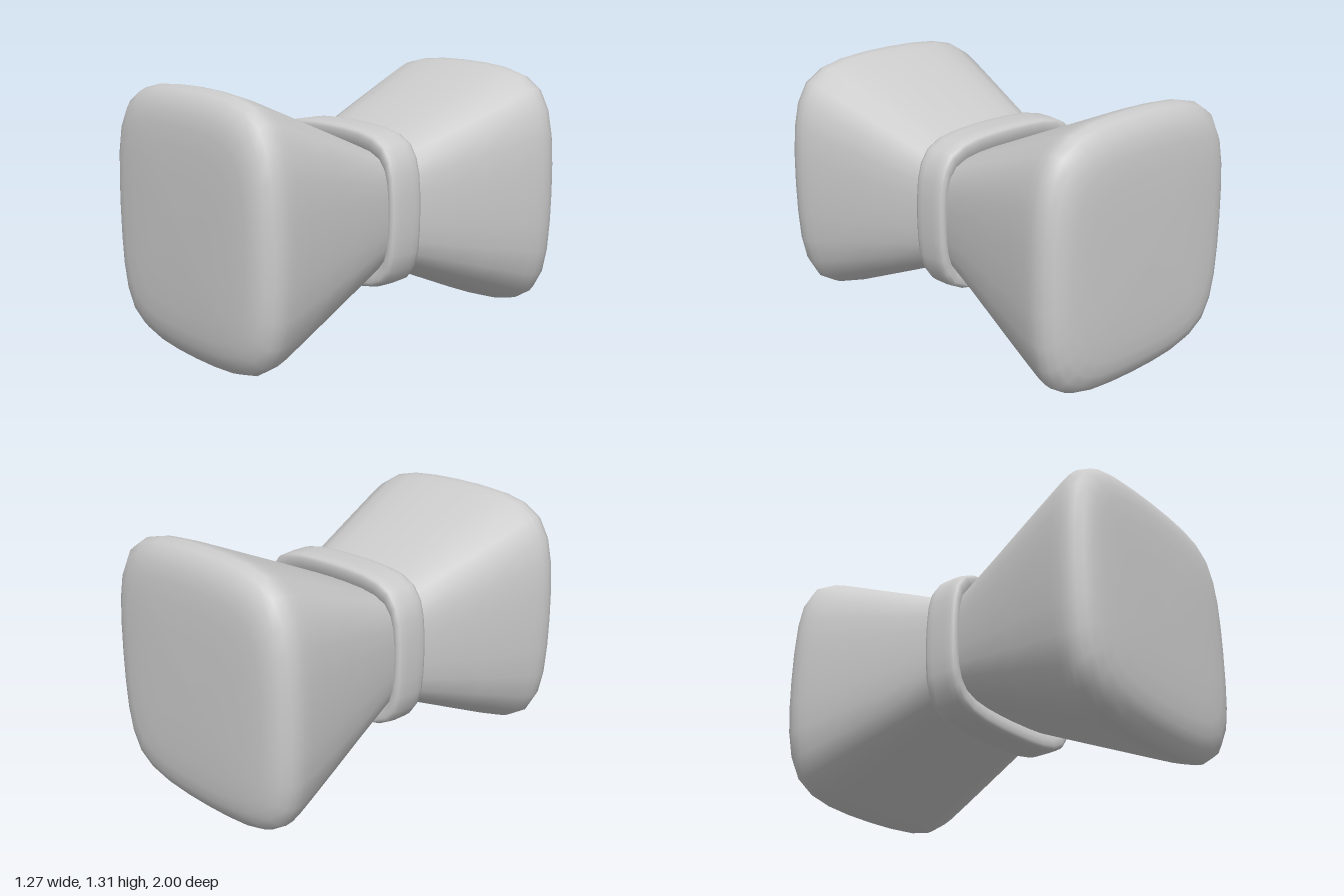
import * as THREE from 'three';

const CENTER_Y = 0.656;

// One quadrant of the rounded-square outline, in unit half-widths
const QUADRANT = [
  [1, 0], [0.995, 0.245], [0.976, 0.48], [0.93, 0.68], [0.838, 0.835],
  [0.68, 0.93], [0.48, 0.976], [0.245, 0.995],
];

// Full outline: the quadrant turned four times, counter-clockwise
function outline() {
  const points = [];
  for (let q = 0; q < 4; q++) {
    for (let [x, y] of QUADRANT) {
      for (let k = 0; k < q; k++) [x, y] = [-y, x];
      points.push([x, y]);
    }
  }
  return points;
}

// Smooth loft through stations [z, halfWidth, halfHeight], z rising
function loft(name, stations, material) {
  const ring = outline();
  const n = ring.length;
  const positions = [];
  const index = [];
  stations.forEach(([z, w, h], s) => {
    ring.forEach(([x, y], j) => {
      positions.push(x * w, CENTER_Y + y * h, z);
      if (s === stations.length - 1) return;
      const a = s * n + j;
      const b = s * n + (j + 1) % n;
      index.push(a, b, a + n, b, b + n, a + n);
    });
  });
  const geometry = new THREE.BufferGeometry();
  geometry.setAttribute('position', new THREE.Float32BufferAttribute(positions, 3));
  geometry.setIndex(index);
  geometry.computeVertexNormals();
  const mesh = new THREE.Mesh(geometry, material);
  mesh.name = name;
  return mesh;
}

export function createModel() {
  const group = new THREE.Group();
  group.name = 'bow';
  const material = new THREE.MeshStandardMaterial({ color: 0xcccccc });

  // Flared half of the bow, from the waist to the gently domed end
  const half = [
    [0.05, 0.432, 0.308], [0.1, 0.445, 0.33], [0.3, 0.497, 0.418],
    [0.5, 0.55, 0.505], [0.7, 0.602, 0.592], [0.79, 0.624, 0.631],
    [0.84, 0.633, 0.649], [0.88, 0.635, 0.655], [0.92, 0.624, 0.64],
    [0.953, 0.598, 0.602], [0.975, 0.556, 0.55], [0.987, 0.5, 0.485],
    [0.994, 0.4, 0.39], [0.998, 0.25, 0.25], [1, 0, 0],
  ];
  // The back half is slightly narrower
  const back = half.map(([z, w, h]) => [-z, w * (1 - 0.03 * z), h]).reverse();
  group.add(loft('bowLoops', [...back, ...half], material));

  // Rounded band around the waist
  const bandSide = [
    [0.07, 0.4, 0.29], [0.086, 0.425, 0.325], [0.096, 0.444, 0.355],
    [0.097, 0.461, 0.385], [0.089, 0.473, 0.399], [0.072, 0.479, 0.407],
    [0.04, 0.482, 0.41],
  ];
  const bandBack = bandSide.map(([z, w, h]) => [-z, w, h]);
  group.add(loft('waistBand', [...bandBack, ...bandSide.reverse()], material));

  return group;
}
